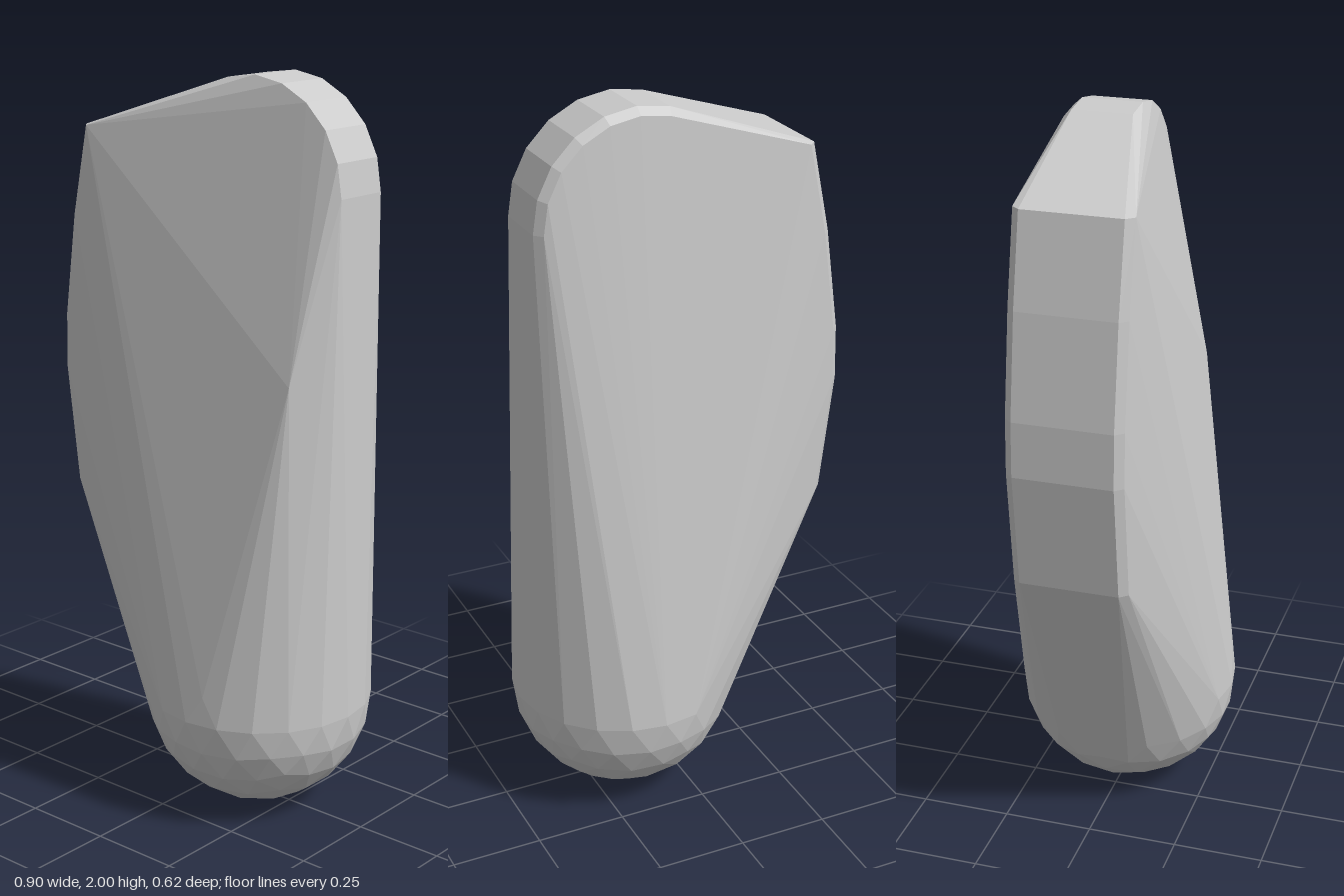
import * as THREE from 'three';
import { ConvexGeometry } from 'three/addons/geometries/ConvexGeometry.js';

export function createModel() {
  const group = new THREE.Group();
  const points = [];
  const add = (x, y, z) => points.push(new THREE.Vector3(x, y, z));

  // Rounded foot: faceted ball with a vertex at its lowest point
  const ball = new THREE.IcosahedronGeometry(0.31, 3);
  ball.rotateZ(-Math.atan(2 / (1 + Math.sqrt(5))));
  ball.translate(0.14, 0.31, 0);
  const seen = new Set();
  const pos = ball.attributes.position;
  for (let i = 0; i < pos.count; i++) {
    const p = [pos.getX(i), pos.getY(i), pos.getZ(i)].map((v) => Math.round(v * 1e4) / 1e4);
    const key = p.join();
    if (!seen.has(key)) {
      seen.add(key);
      add(...p);
    }
  }

  // Rounded top shoulder: sharp at the front, bevelled at the back
  const steps = 6;
  for (let i = 0; i <= steps; i++) {
    const a = (i / steps) * THREE.MathUtils.degToRad(106);
    const c = Math.cos(a), s = Math.sin(a);
    add(0.13 + 0.29 * c, 1.71 + 0.29 * s, 0.03);
    add(0.13 + 0.29 * c, 1.71 + 0.29 * s, -0.135);
    add(0.13 + 0.27 * c, 1.71 + 0.27 * s, -0.157);
  }

  // Curved side edge, bevelled front and back
  const edge = [[-0.36, 1.845], [-0.41, 1.6], [-0.447, 1.32], [-0.45, 1.17], [-0.41, 0.85]];
  for (const [x, y] of edge) {
    for (const side of [-1, 1]) {
      add(x, y, side * 0.135);
      add(x + 0.02, y, side * 0.157);
    }
  }

  // Corner on the front face
  add(0.36, 1.24, 0.157);

  const body = new THREE.Mesh(
    new ConvexGeometry(points),
    new THREE.MeshStandardMaterial({ color: 0xcccccc, flatShading: true })
  );
  body.name = 'body';
  group.add(body);
  return group;
}
